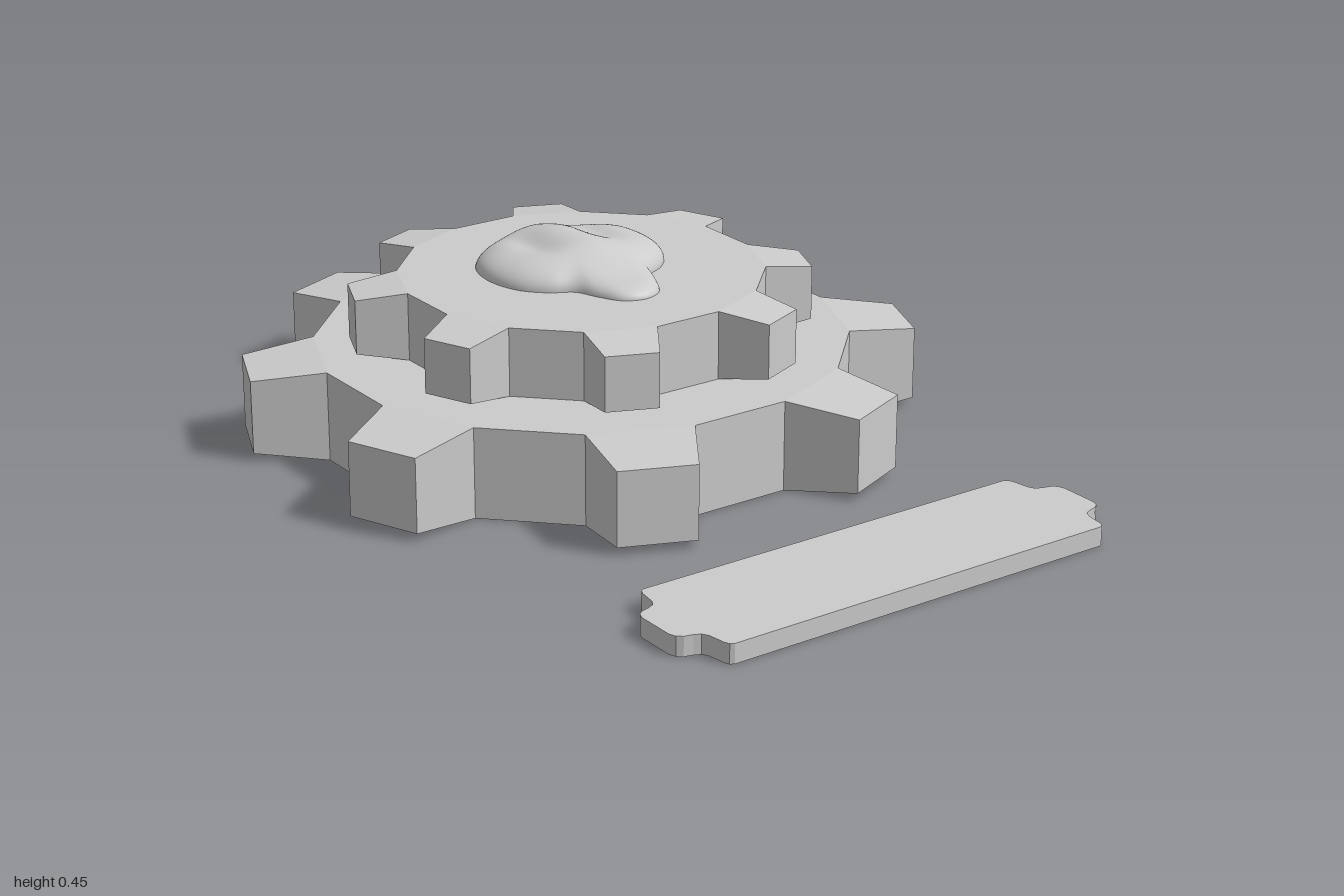
import * as THREE from 'three';

const GEAR_X = -0.243;
const flat = new THREE.MeshStandardMaterial({ color: 0xcccccc, flatShading: true });
const smooth = new THREE.MeshStandardMaterial({ color: 0xcccccc });

// Eight-toothed gear whose teeth get thinner towards their tips
function gearGeometry(rootR, tipR, y0, y1, taper) {
  const pos = [];
  const tri = (...pts) => pts.forEach(p => pos.push(p.x, p.y, p.z));
  const point = (r, deg, y) => {
    const a = THREE.MathUtils.degToRad(deg);
    return new THREE.Vector3(r * Math.cos(a), y, r * Math.sin(a));
  };
  const edge = (r, deg) => {
    const t = r === tipR ? taper : 0;
    return { lo: point(r, deg, y0 + t), hi: point(r, deg, y1 - t) };
  };
  const wall = (a, b) => {
    tri(b.lo, a.lo, a.hi);
    tri(b.lo, a.hi, b.hi);
  };
  const top = new THREE.Vector3(0, y1, 0), bottom = new THREE.Vector3(0, y0, 0);
  const fan = (a, b) => {
    tri(top, b.hi, a.hi);
    tri(bottom, a.lo, b.lo);
  };
  for (let i = 0; i < 8; i++) {
    const mid = 22.5 + i * 45;
    const a = edge(rootR, mid - 11.2), b = edge(tipR, mid - 6.5);
    const c = edge(tipR, mid + 6.5), d = edge(rootR, mid + 11.2);
    const next = edge(rootR, mid + 45 - 11.2);
    wall(a, b); wall(b, c); wall(c, d); wall(d, next);
    fan(a, d); fan(d, next);
    // sloping faces above and below the tooth
    tri(a.hi, d.hi, c.hi); tri(a.hi, c.hi, b.hi);
    tri(a.lo, c.lo, d.lo); tri(a.lo, b.lo, c.lo);
  }
  const g = new THREE.BufferGeometry();
  g.setAttribute('position', new THREE.Float32BufferAttribute(pos, 3));
  g.computeVertexNormals();
  return g;
}

// Low relief of a rounded head with a snout: rings shrinking from an outline to the middle
function reliefGeometry(base) {
  const half = [[0.015, 0], [-0.005, 0.05], [-0.06, 0.082], [-0.115, 0.105], [-0.145, 0.155],
    [-0.2, 0.203], [-0.29, 0.223], [-0.385, 0.2], [-0.45, 0.135], [-0.48, 0.06]];
  const pts = [...half, [-0.487, 0], ...half.slice(1).reverse().map(([x, z]) => [x, -z])];
  const outline = new THREE.CatmullRomCurve3(pts.map(([x, z]) => new THREE.Vector3(x, 0, z)), true);
  const segs = 96, rings = 28, cx = -0.28;
  const rim = outline.getSpacedPoints(segs);
  const bump = (d, w) => Math.exp(-(d * d) / (w * w));
  const height = (x, z) => {
    const snout = THREE.MathUtils.smoothstep(x, -0.24, -0.04);
    const ridge = 0.078 - 0.16 * (Math.sqrt(z * z + 0.0004) - 0.02);
    const back = 0.02 * THREE.MathUtils.smoothstep(-x, 0.32, 0.47);
    const hollow = 0.02 * bump(x + 0.33, 0.085) * bump(Math.abs(z) - 0.085, 0.038);
    return THREE.MathUtils.lerp(ridge - back - hollow, 0.034, snout);
  };
  const pos = [], idx = [];
  for (let j = 0; j <= rings; j++) {
    const s = Math.sin((j / rings) * Math.PI / 2);
    for (let i = 0; i < segs; i++) {
      const x = cx + (rim[i].x - cx) * s, z = rim[i].z * s;
      pos.push(x, base + height(x, z) * Math.sqrt(Math.max(0, 1 - s ** 7)), z);
      if (j === rings) continue;
      const a = j * segs + i, b = j * segs + (i + 1) % segs;
      idx.push(a, b + segs, a + segs);
      if (j > 0) idx.push(a, b, b + segs);
    }
  }
  // the first ring is one point repeated, so give it a common normal
  const g = new THREE.BufferGeometry();
  g.setAttribute('position', new THREE.Float32BufferAttribute(pos, 3));
  g.setIndex(idx);
  g.computeVertexNormals();
  for (let i = 0; i < segs; i++) g.attributes.normal.setXYZ(i, 0, 1, 0);
  return g;
}

// Flat bar with rounded corners and a narrow tab at each end
function barGeometry() {
  const quarter = [[0.155, 0.487], [0.15, 0.496], [0.138, 0.501], [0.098, 0.507],
    [0.083, 0.515], [0.076, 0.53], [0.071, 0.55], [0.062, 0.562], [0.046, 0.568]];
  const mirror = (list, sx, sy) => list.map(([x, y]) => new THREE.Vector2(x * sx, y * sy));
  const back = [...quarter].reverse();
  const shape = new THREE.Shape([
    ...mirror(quarter, 1, 1), ...mirror(back, -1, 1),
    ...mirror(quarter, -1, -1), ...mirror(back, 1, -1),
  ]);
  const g = new THREE.ExtrudeGeometry(shape, { depth: 0.045, bevelEnabled: false });
  g.rotateX(-Math.PI / 2);
  return g;
}

export function createModel() {
  const model = new THREE.Group();
  model.name = 'steppedGearAndBar';
  const add = (name, geometry, material, x = 0) => {
    const mesh = new THREE.Mesh(geometry, material);
    mesh.name = name;
    mesh.position.x = x;
    model.add(mesh);
  };
  add('lowerGear', gearGeometry(0.625, 0.788, 0, 0.213, 0.019), flat, GEAR_X);
  add('upperGear', gearGeometry(0.427, 0.54, 0.213, 0.374, 0.016), flat, GEAR_X);
  add('headRelief', reliefGeometry(0.373), smooth);
  add('bar', barGeometry(), flat, 0.845);
  return model;
}
